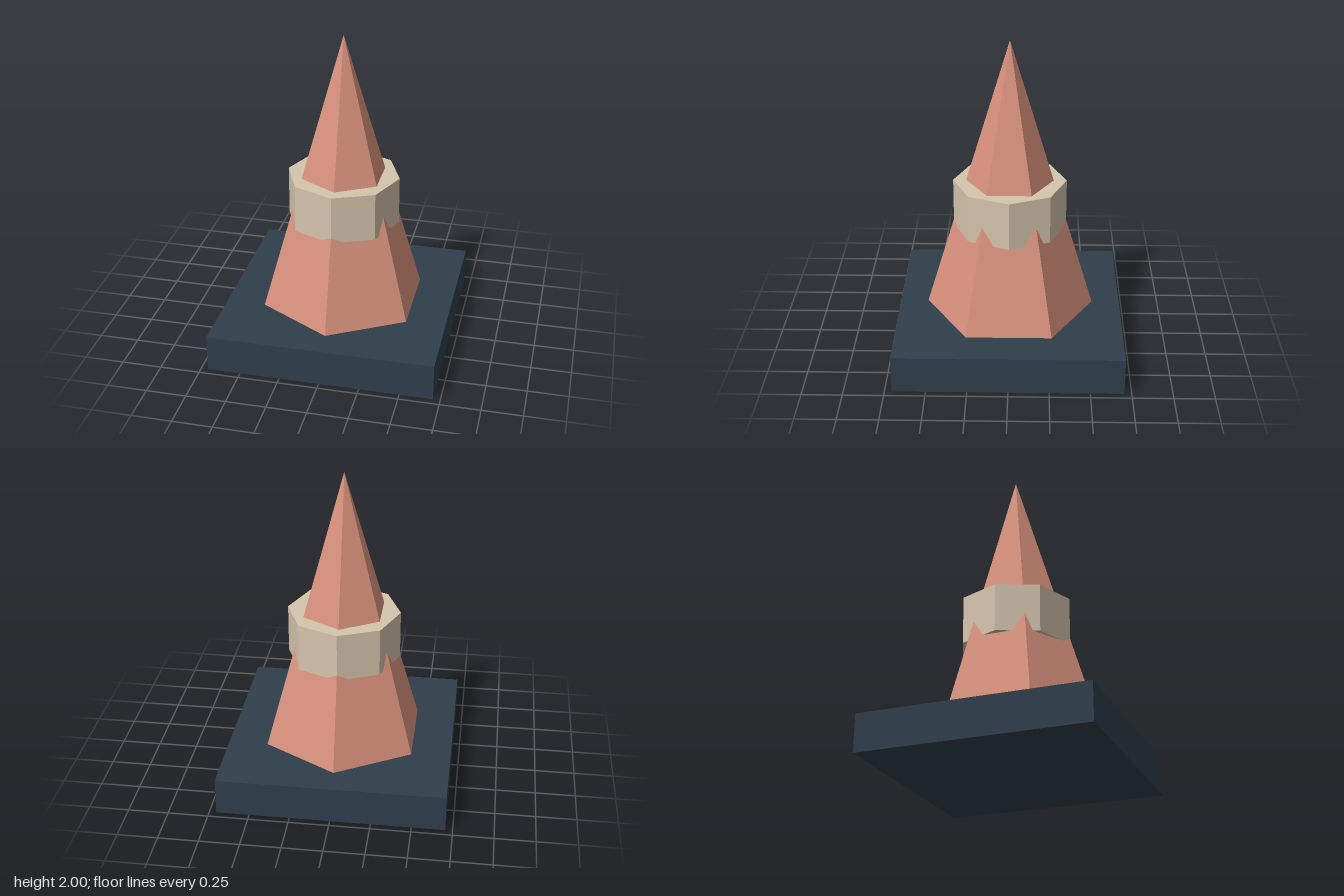
import * as THREE from 'three';

export function createModel() {
  const model = new THREE.Group();

  // Adds a flat-shaded part standing on the given height
  const addPart = (name, geometry, color, bottom, height) => {
    const material = new THREE.MeshStandardMaterial({ color, flatShading: true });
    const mesh = new THREE.Mesh(geometry, material);
    mesh.name = name;
    mesh.position.y = bottom + height / 2;
    model.add(mesh);
  };

  // Square plinth
  addPart('base', new THREE.BoxGeometry(1.412, 0.235, 1.412), 0x2f3f4c, 0, 0.235);

  // Six-sided spire with corners on the z axis
  addPart('spire', new THREE.ConeGeometry(0.53, 1.765, 6), 0xd9917d, 0.235, 1.765);

  // Eight-sided collar around the spire
  addPart('collar', new THREE.CylinderGeometry(0.353, 0.353, 0.305, 8), 0xd6c5ae, 0.79, 0.305);

  return model;
}
